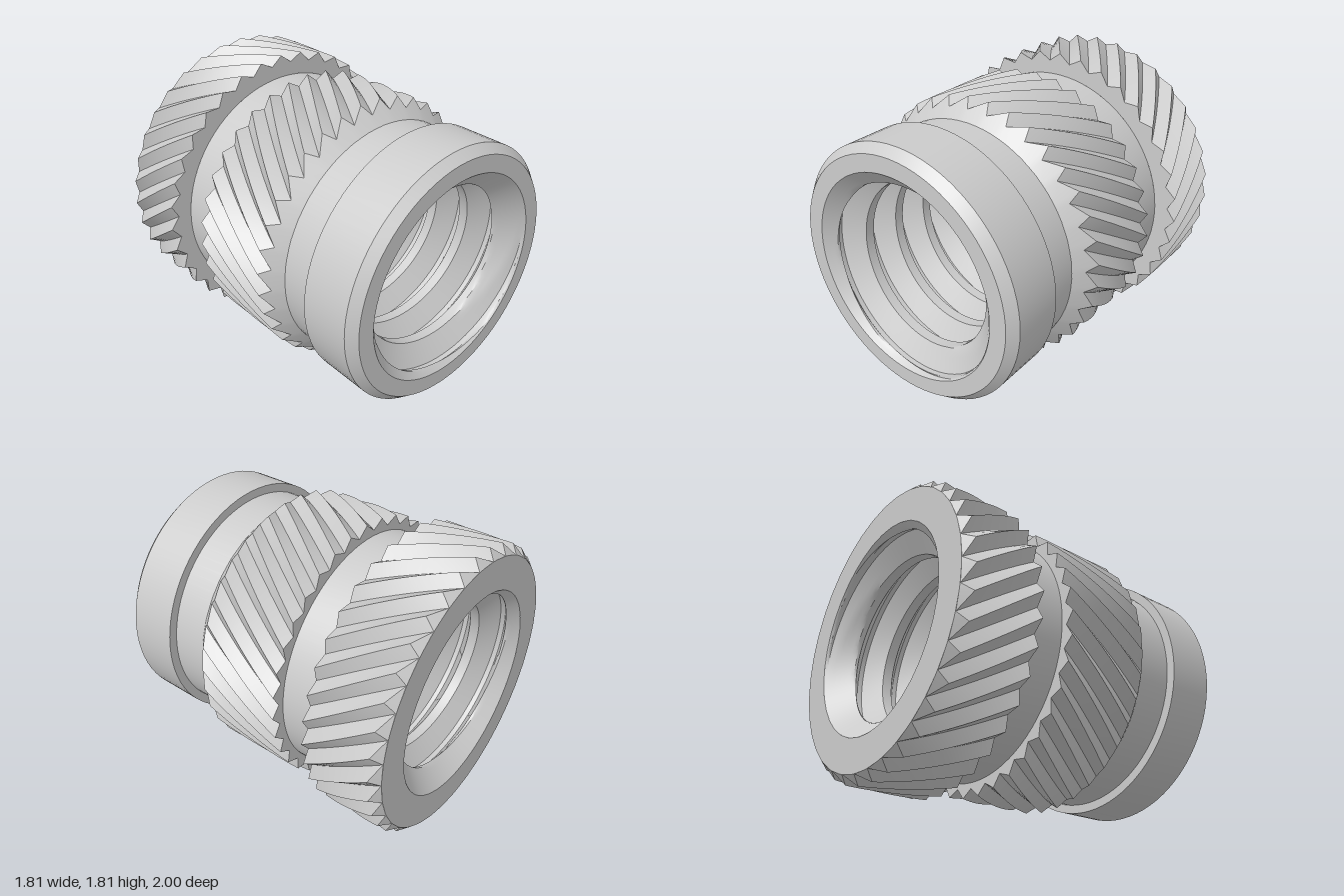
import * as THREE from 'three';
import { toCreasedNormals } from 'three/addons/utils/BufferGeometryUtils.js';

const material = new THREE.MeshStandardMaterial({ color: 0xcccccc });
const AXIS_Y = 0.905;
const BORE_EDGE = 0.645;

// Grid surface around the z axis; fn(row, col) returns [radius, angle, z].
function sheet(rows, cols, fn, flip) {
  const pos = [], index = [];
  for (let i = 0; i <= rows; i++) {
    for (let j = 0; j <= cols; j++) {
      const [r, a, z] = fn(i, j);
      pos.push(r * Math.cos(a), r * Math.sin(a), z);
    }
  }
  for (let i = 0; i < rows; i++) {
    for (let j = 0; j < cols; j++) {
      const a = i * (cols + 1) + j, b = a + 1, c = a + cols + 1, d = c + 1;
      if (flip) index.push(a, c, b, b, c, d);
      else index.push(a, b, c, b, d, c);
    }
  }
  const g = new THREE.BufferGeometry();
  g.setAttribute('position', new THREE.Float32BufferAttribute(pos, 3));
  g.setIndex(index);
  return toCreasedNormals(g, 0.45);
}

// Helical V-toothed ring: flat face at zFlat, bevelled at the other end.
// "caps" lists the [radius, z] rings that follow the toothed part.
function knurl({ teeth, peak, valley, inner, zFlat, zPeak, zValley, caps, twist }) {
  const steps = 10;
  return sheet(steps + 1 + caps.length, teeth * 2, (i, j) => {
    const isPeak = j % 2 === 0;
    const zEnd = isPeak ? zPeak : zValley;
    let r = isPeak ? peak : valley, z;
    if (i === 0) {
      r = inner;
      z = zFlat;
    } else if (i <= steps + 1) {
      z = THREE.MathUtils.lerp(zFlat, zEnd, (i - 1) / steps);
    } else {
      [r, z] = caps[i - steps - 2];
    }
    const zTurn = i > steps + 1 ? zEnd : z;
    return [r, (j * Math.PI) / teeth + twist * (zTurn - zFlat), z];
  }, zPeak < zFlat);
}

// Threaded bore with a conical lead-in at both ends.
function threadedBore() {
  const pitch = 0.25, crest = 0.505, root = 0.635, perPitch = 16, cols = 80;
  const turns = Math.ceil(2 / pitch) + 2;
  return sheet(turns * perPitch, cols, (i, j) => {
    const u = (i % perPitch) / perPitch;
    const fromCrest = Math.abs(u - 0.5);
    const t = THREE.MathUtils.clamp((fromCrest - 0.125) / 0.3125, 0, 1);
    const angle = (j / cols) * Math.PI * 2;
    const z = THREE.MathUtils.clamp(
      -1 - pitch + (i / perPitch + j / cols) * pitch, -1, 1);
    const leadIn = BORE_EDGE - (1 - Math.abs(z));
    return [Math.max(crest + t * (root - crest), leadIn), angle, z];
  }, true);
}

export function createModel() {
  const group = new THREE.Group();
  group.name = 'threadedInsert';
  const add = (name, geometry) => {
    const mesh = new THREE.Mesh(geometry, material);
    mesh.name = name;
    mesh.position.y = AXIS_Y;
    group.add(mesh);
  };

  // Turned sleeve: neck, core, groove, front collar and front face
  const profile = [
    [0.765, -0.51], [0.765, -0.26], [0.745, -0.26], [0.745, 0.63],
    [0.8, 0.63], [0.8, 0.945], [0.75, 1], [BORE_EDGE, 1],
  ].map(([r, z]) => new THREE.Vector2(r, z));
  const sleeve = new THREE.LatheGeometry(profile, 80).rotateX(Math.PI / 2);
  add('sleeve', toCreasedNormals(sleeve, 0.45));

  // Front knurled band, bevelled towards the groove
  add('frontKnurl', knurl({
    teeth: 36, peak: 0.855, valley: 0.8, inner: 0.745,
    zFlat: -0.26, zPeak: 0.29, zValley: 0.345,
    caps: [[0.745, 0.4]], twist: 0.8,
  }));

  // Rear knurled band, opposite twist, closed by the rear face
  add('rearKnurl', knurl({
    teeth: 36, peak: 0.905, valley: 0.85, inner: 0.765,
    zFlat: -0.51, zPeak: -0.945, zValley: -0.998,
    caps: [[0.85, -1], [BORE_EDGE, -1]], twist: -0.8,
  }));

  add('threadedBore', threadedBore());
  return group;
}
